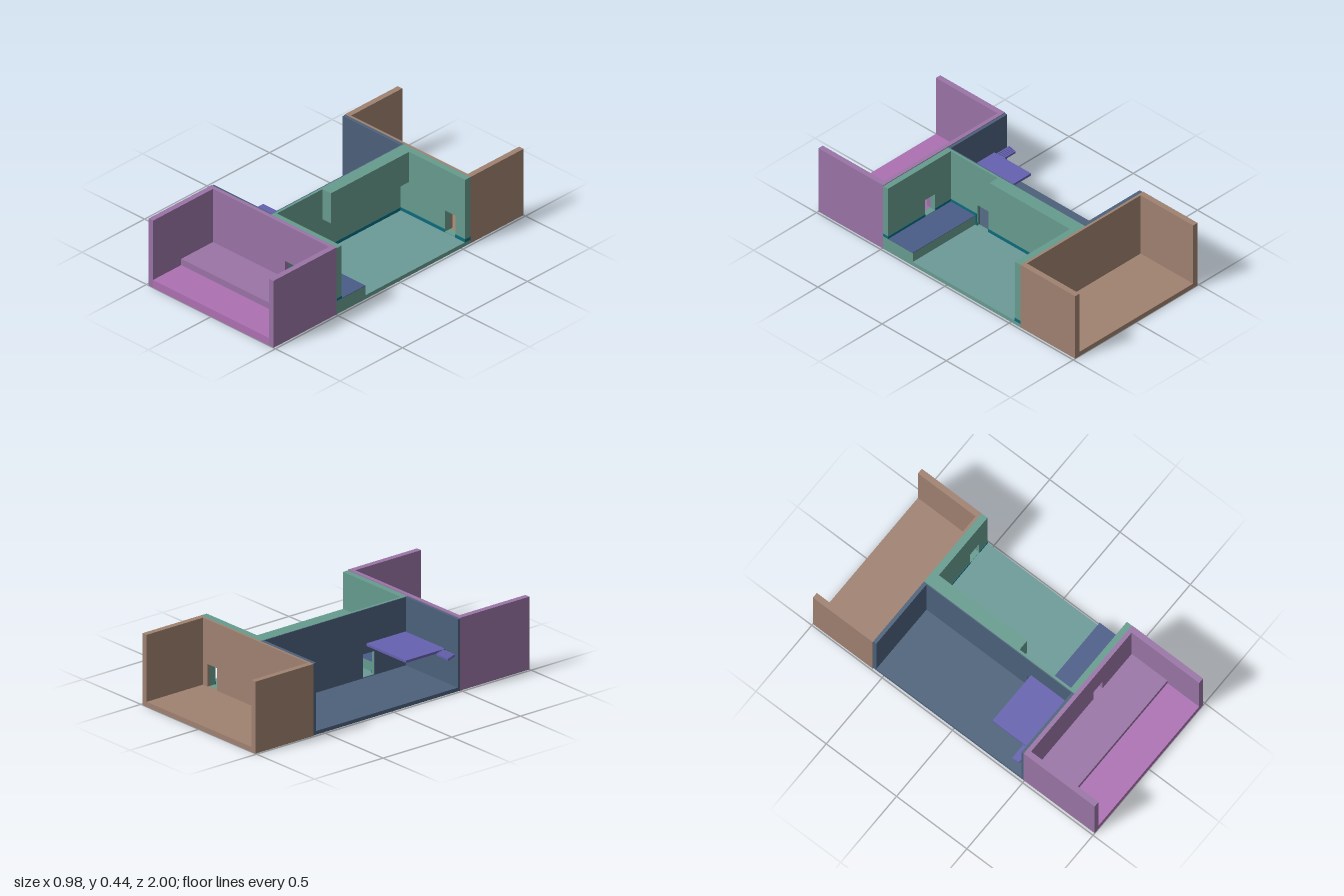
import * as THREE from 'three';

const mats = {};
const mat = (color) => (mats[color] ??= new THREE.MeshStandardMaterial({ color }));

const MAUVE = 0x9a74a6, ORCHID = 0xad70b3, BROWN = 0x9f8170, GREEN = 0x669b8e, FLOOR = 0x6b9a98,
  NAVY = 0x4c617b, STEP = 0x4a5c88, INDIGO = 0x6661b0, TEAL = 0x0d6a7b;

// Box given by its lower and upper limits on each axis
function box(parent, name, color, [x0, x1], [y0, y1], [z0, z1]) {
  const mesh = new THREE.Mesh(new THREE.BoxGeometry(x1 - x0, y1 - y0, z1 - z0), mat(color));
  mesh.position.set((x0 + x1) / 2, (y0 + y1) / 2, (z0 + z1) / 2);
  mesh.name = name;
  parent.add(mesh);
  return mesh;
}

// Upright wall with door openings; u runs along x, or along z when alongZ is set
function doorWall(parent, name, color, [u0, u1], [y0, y1], [d0, d1], doors, alongZ = false) {
  const rect = (T, a, b, c, d) => {
    const p = new T();
    p.moveTo(a, c); p.lineTo(b, c); p.lineTo(b, d); p.lineTo(a, d); p.closePath();
    return p;
  };
  // rotating by -90 degrees about y sends shape x to +z and depth to -x
  const shape = rect(THREE.Shape, u0, u1, y0, y1);
  for (const [a, b, c, d] of doors) shape.holes.push(rect(THREE.Path, a, b, c, d));
  const geo = new THREE.ExtrudeGeometry(shape, { depth: d1 - d0, bevelEnabled: false });
  if (alongZ) geo.rotateY(-Math.PI / 2).translate(d1, 0, 0);
  else geo.translate(0, 0, d0);
  const mesh = new THREE.Mesh(geo, mat(color));
  mesh.name = name;
  parent.add(mesh);
}

export function createModel() {
  const model = new THREE.Group();
  model.name = 'roomBlock';
  const room = (name) => {
    const g = new THREE.Group();
    g.name = name;
    model.add(g);
    return g;
  };
  const frontDoor = [0.11, 0.19, 0.09, 0.2];
  const backDoor = [0.33, 0.41, 0.03, 0.165];
  const sideDoor = [0.165, 0.25, 0.025, 0.165];

  // Front room: open to the front, raised terrace at the rear
  const front = room('frontRoom');
  for (const [a, b] of [[-0.485, -0.45], [0.45, 0.485]])
    box(front, 'frontRoomSideWall', MAUVE, [a, b], [0, 0.435], [0.495, 1]);
  doorWall(front, 'frontRoomRearWall', MAUVE, [-0.45, 0.45], [0, 0.435], [0.495, 0.52], [frontDoor]);
  box(front, 'frontRoomTerrace', MAUVE, [-0.45, 0.45], [0, 0.09], [0.52, 0.775]);
  box(front, 'frontRoomFloor', ORCHID, [-0.45, 0.45], [0, 0.05], [0.775, 1]);

  // Back room: open to the back
  const back = room('backRoom');
  for (const [a, b] of [[-0.49, -0.455], [0.45, 0.485]])
    box(back, 'backRoomSideWall', BROWN, [a, b], [0, 0.43], [-1, -0.575]);
  doorWall(back, 'backRoomInnerWall', BROWN, [-0.455, 0.45], [0, 0.43], [-0.59, -0.575], [backDoor]);
  box(back, 'backRoomFloor', BROWN, [-0.455, 0.45], [0, 0.03], [-1, -0.59]);

  // Left room: open to +x, with a raised step by the front door
  const left = room('leftRoom');
  doorWall(left, 'leftRoomFrontWall', GREEN, [-0.03, 0.485], [0, 0.43], [0.458, 0.495], [frontDoor]);
  doorWall(left, 'leftRoomBackWall', GREEN, [-0.03, 0.485], [0, 0.43], [-0.575, -0.533], [backDoor]);
  doorWall(left, 'leftRoomSideWall', GREEN, [-0.533, 0.458], [0, 0.43], [-0.03, -0.015], [sideDoor], true);
  box(left, 'leftRoomSlab', GREEN, [-0.015, 0.485], [0, 0.023], [-0.533, 0.458]);
  box(left, 'leftRoomFloor', FLOOR, [-0.015, 0.485], [0.023, 0.025], [-0.533, 0.265]);
  box(left, 'stepBase', GREEN, [-0.015, 0.485], [0.023, 0.085], [0.265, 0.458]);
  box(left, 'stepTop', STEP, [-0.015, 0.485], [0.085, 0.088], [0.265, 0.458]);
  box(left, 'bulkhead', GREEN, [-0.015, 0.05], [0.235, 0.43], [-0.533, 0.093]);

  // Skirting along the walls, broken at the doors
  const skirt = (x, y, z) => box(left, 'skirting', TEAL, x, y, z);
  const low = [0.025, 0.045], high = [0.088, 0.104];
  skirt([-0.015, -0.012], low, [-0.533, 0.165]);
  skirt([-0.015, -0.012], low, [0.25, 0.265]);
  skirt([-0.015, -0.012], [0.045, 0.104], [0.253, 0.265]);
  skirt([-0.015, -0.012], high, [0.265, 0.458]);
  skirt([-0.015, 0.33], low, [-0.533, -0.53]);
  skirt([0.41, 0.487], low, [-0.533, -0.53]);
  skirt([0.485, 0.487], low, [-0.575, -0.533]);
  skirt([-0.015, 0.11], high, [0.455, 0.458]);
  skirt([0.19, 0.487], high, [0.455, 0.458]);
  skirt([0.485, 0.487], high, [0.458, 0.495]);

  // Right room: open to -x, with a loft
  const right = room('rightRoom');
  box(right, 'rightRoomFrontWall', NAVY, [-0.485, -0.03], [0, 0.43], [0.478, 0.495]);
  box(right, 'rightRoomBackWall', NAVY, [-0.485, -0.03], [0, 0.43], [-0.575, -0.553]);
  doorWall(right, 'rightRoomSideWall', NAVY, [-0.553, 0.478], [0, 0.43], [-0.036, -0.03], [sideDoor], true);
  box(right, 'rightRoomFloor', NAVY, [-0.485, -0.036], [0, 0.022], [-0.553, 0.478]);
  box(right, 'loft', INDIGO, [-0.38, -0.036], [0.21, 0.225], [0.19, 0.475]);
  // Narrow slatted landing beside the loft
  for (let i = 0; i < 5; i++) {
    const z = 0.41 + i * 0.01;
    box(right, 'landingSlat', INDIGO, [-0.483, -0.38], [0.2 + i * 0.003, 0.212 + i * 0.003], [z, z + 0.01]);
  }
  return model;
}
